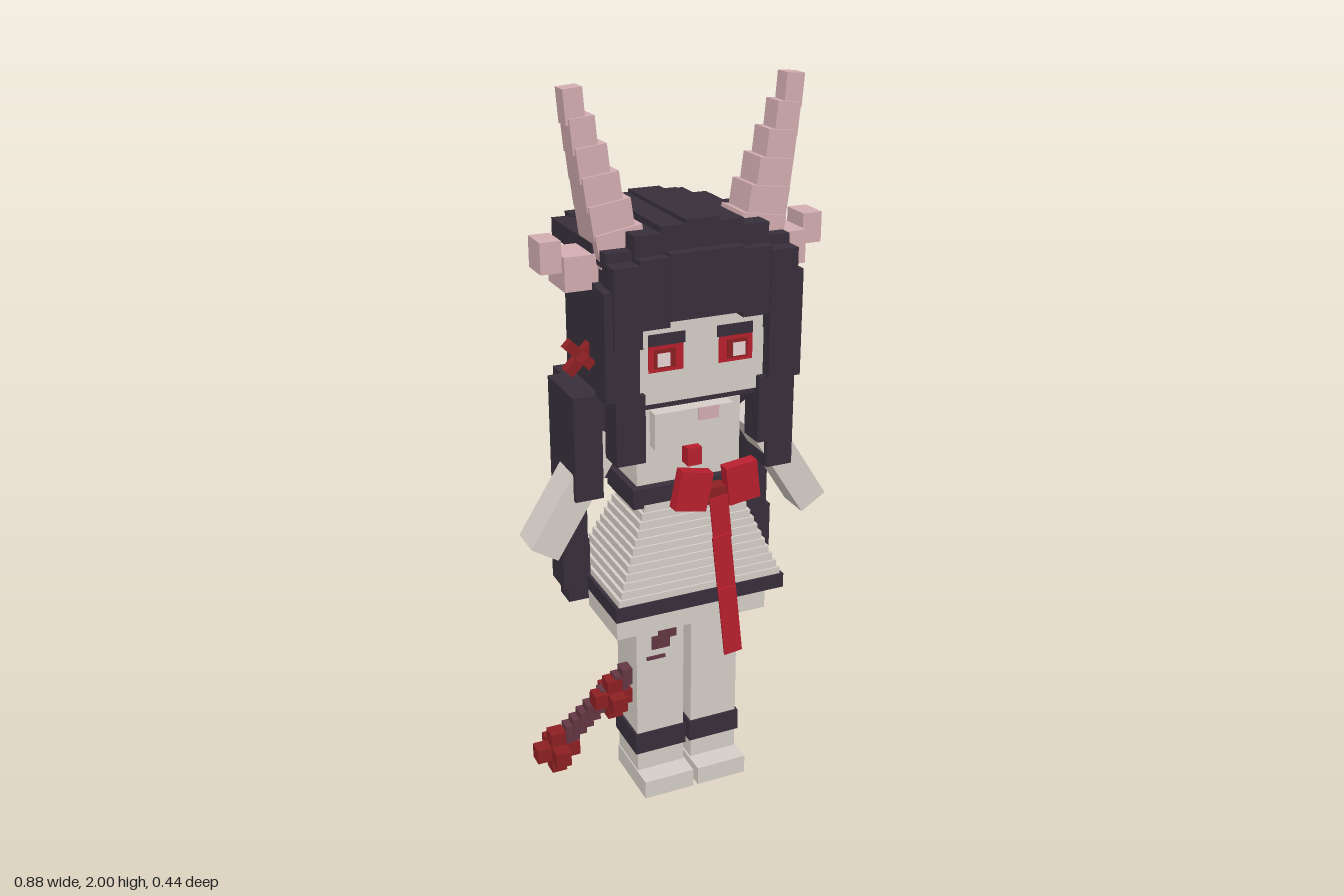
import * as THREE from 'three';

const mat = (name, color) => {
  const m = new THREE.MeshStandardMaterial({ color });
  m.name = name;
  return m;
};

export function createModel() {
  const cream = mat('cream', 0xd6cec7), hair = mat('dark hair', 0x372f3a), pink = mat('horn pink', 0xd3adb1),
    red = mat('ribbon red', 0xb81f2e), darkRed = mat('dark red', 0x8c2023), maroon = mat('maroon', 0x633743),
    white = mat('eye white', 0xefdcdc);
  const model = new THREE.Group();

  // Box given by its extents: [x0, x1], [y0, y1], [z0, z1]
  const box = (name, m, x, y, z, parent = model) => {
    const b = new THREE.Mesh(new THREE.BoxGeometry(x[1] - x[0], y[1] - y[0], z[1] - z[0]), m);
    b.position.set((x[0] + x[1]) / 2, (y[0] + y[1]) / 2, (z[0] + z[1]) / 2);
    b.name = name;
    parent.add(b);
    return b;
  };
  // Box centred on x = 0
  const mid = (name, m, w, y, z) => box(name, m, [-w, w], y, z);
  // Same box on both sides, optionally tilted outward
  const pair = (name, m, x, y, z, tilt = 0) => [1, -1].forEach((s) => {
    const b = box((s > 0 ? 'left ' : 'right ') + name, m, s > 0 ? x : [-x[1], -x[0]], y, z);
    b.rotation.z = s * tilt;
  });
  // Three crossed bars
  const cross = (name, x, y, z, r, t, turn = 0) => {
    const g = new THREE.Group();
    g.name = name;
    box('bar', darkRed, [-r, r], [-t, t], [-t, t], g);
    box('bar', darkRed, [-t, t], [-r, r], [-t, t], g);
    box('bar', darkRed, [-t, t], [-t, t], [-r, r], g);
    g.position.set(x, y, z);
    g.rotation.z = turn;
    model.add(g);
  };

  // Legs
  pair('leg', cream, [0.012, 0.155], [0.05, 0.53], [-0.034, 0.107]);
  pair('foot', cream, [0.007, 0.158], [0, 0.055], [-0.035, 0.17]);
  pair('anklet', hair, [0.006, 0.162], [0.115, 0.18], [-0.04, 0.113]);
  mid('hips', cream, 0.225, [0.525, 0.615], [-0.075, 0.14]);

  // Tiered skirt with dark hem
  mid('skirt hem', hair, 0.25, [0.615, 0.657], [-0.123, 0.2]);
  const tiers = 12;
  for (let i = 0; i < tiers; i++) {
    const t = i / (tiers - 1), y = 0.655 + i * 0.0215;
    mid('skirt tier', cream, 0.24 - 0.1 * t, [y, y + 0.0215], [-0.115 + 0.075 * t, 0.195 - 0.06 * t]);
  }

  // Torso
  mid('belt', hair, 0.17, [0.905, 0.96], [-0.05, 0.135]);
  mid('torso', cream, 0.15, [0.95, 1.17], [-0.04, 0.11]);
  mid('chest', cream, 0.112, [1.07, 1.17], [0.1, 0.145]);
  box('chest patch', pink, [0.01, 0.07], [1.135, 1.17], [0.143, 0.148]);
  mid('neck', cream, 0.09, [1.15, 1.24], [-0.02, 0.1]);
  mid('collar', hair, 0.17, [1.185, 1.205], [-0.06, 0.12]);
  box('pendant', red, [-0.02, 0.02], [1.01, 1.06], [0.11, 0.15]);

  // Arms
  pair('arm', cream, [0.267, 0.353], [0.77, 1.12], [-0.015, 0.085], 0.56);

  // Bow and ribbon
  [[-0.022, 0.955, -0.2], [0.122, 0.955, 0.12]].forEach(([x, y, turn]) => {
    box('bow loop', red, [x - 0.046, x + 0.046], [y - 0.055, y + 0.055], [0.16, 0.195]).rotation.z = turn;
  });
  box('bow knot', darkRed, [0.02, 0.08], [0.905, 0.95], [0.14, 0.185]);
  [[0.06, 0.86, 0.13, 0.188], [0.065, 0.73, 0.17, 0.203], [0.08, 0.555, 0.21, 0.215]].forEach(([x, y, h, z]) => {
    box('ribbon', red, [x - 0.027, x + 0.027], [y - h / 2, y + h / 2], [z - 0.005, z]).rotation.z = 0.11;
  });

  // Head and face
  mid('head', cream, 0.18, [1.215, 1.56], [-0.1, 0.18]);
  pair('eye', red, [0.05, 0.145], [1.3, 1.37], [0.178, 0.183]);
  pair('pupil', darkRed, [0.072, 0.13], [1.31, 1.36], [0.181, 0.186]);
  pair('eye glint', white, [0.088, 0.122], [1.315, 1.35], [0.184, 0.189]);
  pair('eyelash', hair, [0.045, 0.145], [1.37, 1.4], [0.178, 0.184]);
  mid('chin shade', hair, 0.16, [1.198, 1.214], [-0.08, 0.17]);

  // Hair cap as stepped strips
  [[0.045, 1.682, 0.185], [0.112, 1.672, 0.186], [0.182, 1.655, 0.187]].forEach(([w, y, z]) =>
    mid('hair cap strip', hair, w, [1.58, y], [-0.18, z]));
  mid('hair cap base', hair, 0.25, [1.575, 1.615], [-0.19, 0.17]);
  pair('hair cap edge', hair, [0.182, 0.258], [1.575, 1.625], [-0.19, 0.1]);
  mid('hair cap back', hair, 0.11, [1.59, 1.665], [-0.215, -0.17]);
  mid('hair cap back rim', hair, 0.215, [1.585, 1.635], [-0.205, -0.17]);
  mid('hair crown', hair, 0.2, [1.5, 1.59], [-0.02, 0.165]);

  // Bangs, arched along the lower edge
  mid('bangs centre', hair, 0.1, [1.44, 1.61], [0.17, 0.218]);
  pair('bangs', hair, [0.1, 0.18], [1.425, 1.602], [0.17, 0.216]);
  pair('outer bangs', hair, [0.175, 0.25], [1.38, 1.59], [0.15, 0.22]);

  // Side hair
  pair('side hair', hair, [0.178, 0.262], [1.25, 1.53], [-0.09, 0.19]);
  pair('upper side hair', hair, [0.178, 0.245], [1.5, 1.6], [-0.01, 0.17]);
  pair('front lock', hair, [0.18, 0.272], [1.245, 1.53], [0.14, 0.21]);
  pair('lower front lock', hair, [0.16, 0.24], [1.065, 1.25], [0.12, 0.197]);
  pair('shoulder lock', hair, [0.24, 0.318], [0.94, 1.23], [-0.09, 0.1]);
  pair('long lock', hair, [0.245, 0.305], [0.7, 0.96], [-0.075, -0.015]);
  pair('lock end', hair, [0.24, 0.318], [0.625, 0.765], [-0.108, -0.015]);
  pair('lock tip', hair, [0.245, 0.303], [0.58, 0.65], [-0.088, -0.02]);

  // Back hair
  mid('back hair', hair, 0.19, [1.2, 1.525], [-0.2, -0.08]);
  mid('back hair panel', hair, 0.115, [1.22, 1.53], [-0.212, -0.19]);
  pair('back hair strip', hair, [0.13, 0.215], [1.25, 1.535], [-0.21, -0.1]);
  mid('lower back hair', hair, 0.258, [1.0, 1.205], [-0.22, -0.08]);
  mid('back hair end', hair, 0.25, [0.908, 1.0], [-0.2, -0.08]);

  // Horns: shrinking blocks leaning outward
  const rings = 6;
  for (let i = 0; i < rings; i++) {
    const t = i / (rings - 1), x = 0.192 + 0.1 * t, r = 0.062 - 0.037 * t, y = 1.575 + 0.0675 * i;
    pair('horn ring', pink, [x - r, x + r], [y, y + 0.085], [0.07 - r, 0.07 + r], -0.16 + 0.08 * t);
  }

  // Ears
  pair('ear', pink, [0.24, 0.333], [1.512, 1.6], [-0.01, 0.108]);
  pair('ear tip', pink, [0.333, 0.388], [1.558, 1.638], [0.005, 0.09]);

  // Crossed hair clips
  [1, -1].forEach((s) => cross('hair clip', s * 0.28, 1.328, 0.065, 0.055, 0.014, Math.PI / 4));

  // Tail wrapping the right leg, ending in crossed bars
  box('tail band', maroon, [-0.09, -0.035], [0.48, 0.525], [0.105, 0.112]);
  box('tail band', maroon, [-0.11, -0.055], [0.45, 0.49], [0.105, 0.112]);
  box('tail band', maroon, [-0.125, -0.07], [0.418, 0.428], [0.105, 0.112]);
  const steps = 10;
  for (let i = 0; i < steps; i++) {
    const t = i / (steps - 1), x = -0.165 - 0.175 * t, y = 0.355 - 0.2 * t, z = 0.055 - 0.055 * t;
    box('tail', maroon, [x - 0.02, x + 0.02], [y - 0.026, y + 0.026], [z - 0.02, z + 0.02]);
  }
  cross('tail knot', -0.207, 0.29, 0.05, 0.06, 0.022);
  cross('tail tip', -0.363, 0.122, 0, 0.064, 0.022);

  return model;
}
